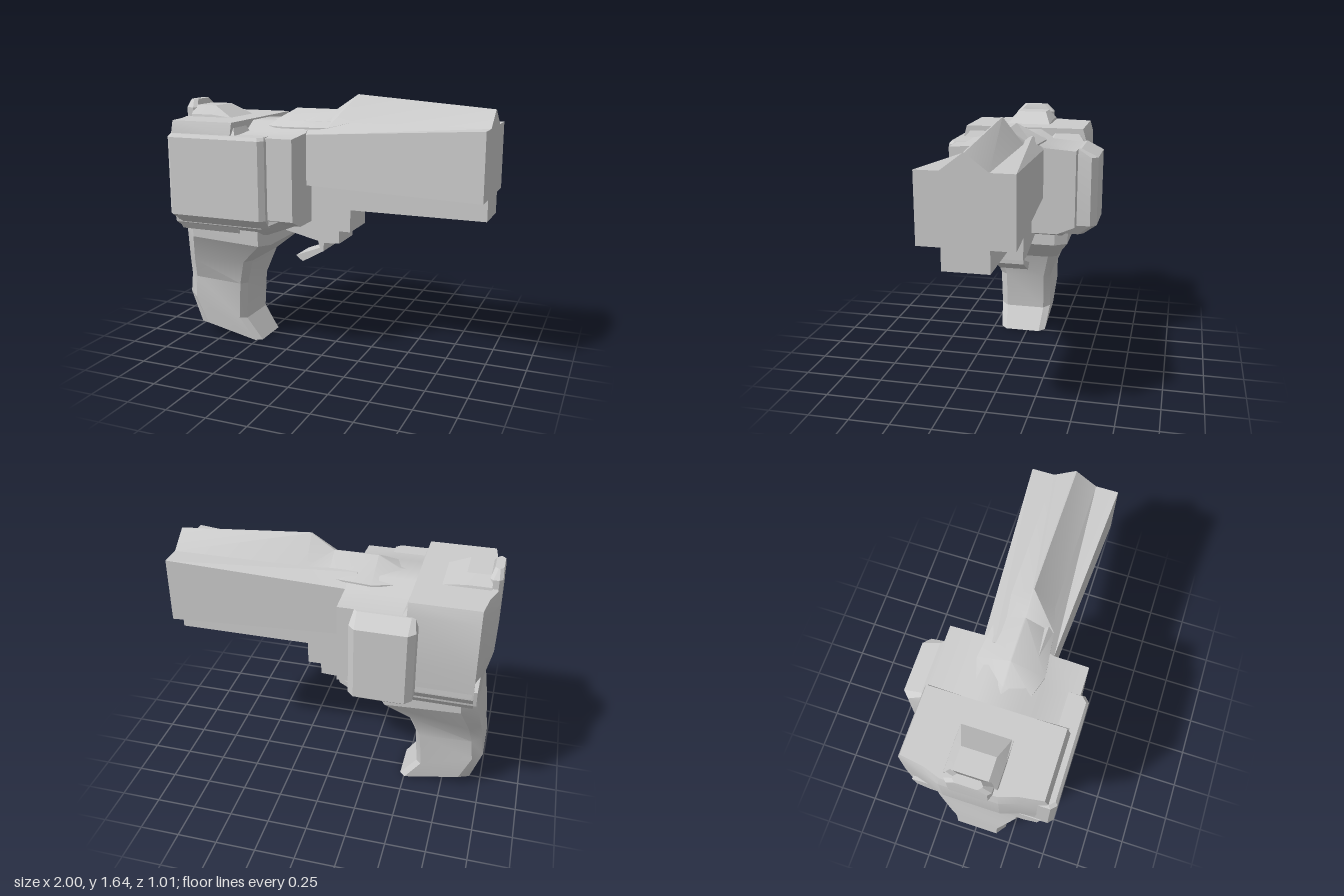
import * as THREE from 'three';
import { toCreasedNormals } from 'three/addons/utils/BufferGeometryUtils.js';

const C = 0.033; // the model's mid plane in z

// Skin a run of equal-length point rings and close both ends.
function loft(rings, crease = 0.35) {
  const n = rings[0].length, pos = [];
  const tri = (a, b, c) => pos.push(...a, ...b, ...c);
  for (let r = 0; r < rings.length - 1; r++) {
    for (let i = 0; i < n; i++) {
      const j = (i + 1) % n, A = rings[r], B = rings[r + 1];
      tri(A[i], B[i], B[j]);
      tri(A[i], B[j], A[j]);
    }
  }
  const mid = (ring) => [0, 1, 2].map((k) => ring.reduce((s, p) => s + p[k], 0) / n);
  const first = rings[0], last = rings[rings.length - 1];
  const m0 = mid(first), m1 = mid(last);
  for (let i = 0; i < n; i++) {
    const j = (i + 1) % n;
    tri(m0, first[i], first[j]);
    tri(m1, last[j], last[i]);
  }
  // Turn the faces outward if the enclosed volume is negative.
  let vol = 0;
  const a = new THREE.Vector3(), b = new THREE.Vector3(), c = new THREE.Vector3();
  for (let i = 0; i < pos.length; i += 9) {
    vol += a.fromArray(pos, i).dot(b.fromArray(pos, i + 3).cross(c.fromArray(pos, i + 6)));
  }
  if (vol < 0) {
    for (let i = 0; i < pos.length; i += 9) {
      for (let k = 0; k < 3; k++) [pos[i + 3 + k], pos[i + 6 + k]] = [pos[i + 6 + k], pos[i + 3 + k]];
    }
  }
  const g = new THREE.BufferGeometry();
  g.setAttribute('position', new THREE.Float32BufferAttribute(pos, 3));
  return toCreasedNormals(g, crease);
}

// Cross-section at x from [z, y] pairs.
const section = (x, pts) => pts.map(([z, y]) => [x, y, z]);
// Symmetric cross-section at x from the [half width, y] pairs of one side.
const sym = (x, half) => section(x, [
  ...half.map(([w, y]) => [C + w, y]),
  ...[...half].reverse().map(([w, y]) => [C - w, y]),
]);
// Rectangle in plan at height y, with cut corners.
const plan = (y, x0, x1, z0, z1, c) => [
  [x0 + c, y, z0], [x1 - c, y, z0], [x1, y, z0 + c], [x1, y, z1 - c],
  [x1 - c, y, z1], [x0 + c, y, z1], [x0, y, z1 - c], [x0, y, z0 + c],
];

export function createModel() {
  const group = new THREE.Group();
  const material = new THREE.MeshStandardMaterial({ color: 0xcccccc });
  const add = (name, geometry) => {
    const m = new THREE.Mesh(geometry, material);
    m.name = name;
    group.add(m);
    return m;
  };
  const box = (name, x0, x1, y0, y1, z0, z1) =>
    add(name, new THREE.BoxGeometry(x1 - x0, y1 - y0, z1 - z0))
      .position.set((x0 + x1) / 2, (y0 + y1) / 2, (z0 + z1) / 2);

  // Barrel, flaring towards the muzzle
  add('barrel', loft([[-0.15, 0.205, 1.1, 1.41], [-0.1, 0.208, 1.1, 1.41], [1, 0.27, 1.08, 1.485]].map(
    ([x, w, y0, y1]) => sym(x, [[w, y0], [w, y1], [0.132, 1.485]]))));
  box('barrelRail', -0.1, 1, 0.95, 1.12, -0.1, 0.166);
  box('frameFront', -0.2, 0.16, 0.81, 1.12, -0.1, 0.166);

  // Top ridge running into the body
  add('topRidge', loft([[-0.42, 1.475, 0.14], [-0.38, 1.48, 0.16], [-0.25, 1.55, 0.2], [0.02, 1.55, 0.17],
    [0.16, 1.645, 0.132], [1, 1.582, 0.132]].map(
    ([x, y, w]) => sym(x, [[w, 1.44], [w, x < 0.1 ? 1.45 : 1.485], [0.004, y]])), 0.5));

  // Body with a raised, rounded top
  add('body', loft([[-0.9, 0.98], [-0.5, 0.98], [-0.3, 0.98], [-0.1, 0.98]].map(
    ([x, y]) => sym(x, [[0.3, y - 0.12], [0.415, y - 0.07], [0.415, 1.405], [0.21, 1.42], [0.12, 1.475]])), 0.6));

  // Belly narrowing forward to the trigger and down to the grip
  add('belly', loft([
    sym(-0.93, [[0.3, 0.79], [0.38, 0.84], [0.4, 0.95]]),
    sym(-0.33, [[0.3, 0.785], [0.38, 0.84], [0.4, 0.95]]),
    sym(-0.1, [[0.15, 0.86], [0.25, 0.885], [0.412, 0.95]]),
  ], 0.6));

  // Rear housing, bevelled in plan towards the back
  const rear = (y, x, s) => [
    [-0.5, y, C + 0.425 * s], [-0.91, y, C + 0.425 * s], [-0.95 + x, y, C + 0.28 * s], [-0.985 + x, y, C + 0.17 * s],
    [-0.985 + x, y, C - 0.17 * s], [-0.95 + x, y, C - 0.28 * s], [-0.91, y, C - 0.425 * s], [-0.5, y, C - 0.425 * s],
  ];
  add('rearHousing', loft([rear(0.79, 0.045, 0.8), rear(0.9, 0.045, 0.97), rear(1.1, 0, 1),
    rear(1.41, 0, 1), rear(1.485, 0.02, 0.95)]));

  // Side panels: a long one on the +z side, a shorter forward one on the -z side
  add('leftPanel', loft([
    plan(0.85, -0.9, -0.28, 0.2, 0.43, 0.03), plan(0.91, -0.925, -0.265, 0.2, 0.505, 0.03),
    plan(1.39, -0.925, -0.265, 0.2, 0.505, 0.03), plan(1.41, -0.91, -0.275, 0.2, 0.49, 0.03),
  ]));
  add('rightPanel', loft([
    plan(0.83, -0.53, -0.23, -0.42, -0.1, 0.03), plan(0.9, -0.57, -0.19, -0.51, -0.1, 0.04),
    plan(1.35, -0.57, -0.19, -0.51, -0.1, 0.04), plan(1.405, -0.55, -0.2, -0.4, -0.1, 0.02),
  ]));

  // Wedge corners at the front of the rear housing
  for (const s of [1, -1]) {
    add('topWedge', loft([
      [[-0.57, 1.4, C + s * 0.42], [-0.47, 1.4, C + s * 0.42], [-0.47, 1.4, C + s * 0.2], [-0.57, 1.4, C + s * 0.2]],
      [[-0.57, 1.485, C + s * 0.38], [-0.52, 1.485, C + s * 0.35], [-0.52, 1.485, C + s * 0.23], [-0.57, 1.485, C + s * 0.18]],
    ]));
  }

  // Rear sight bump and hammer
  add('rearSight', loft([[-0.93, 1.555, 0.1], [-0.78, 1.555, 0.1], [-0.65, 1.485, 0.14]].map(
    ([x, y, w]) => sym(x, [[0.16, 1.45], [0.15, Math.min(y, 1.5)], [w, y]]))));
  add('hammer', loft([
    plan(1.36, -0.986, -0.9, -0.1, 0.166, 0.02), plan(1.54, -0.984, -0.91, -0.1, 0.166, 0.02),
    plan(1.59, -0.98, -0.93, -0.05, 0.116, 0.02),
  ]));

  // Grip: back point, front point and half width of each level
  const grip = [
    [-0.93, 0.82, -0.33, 0.82, 0.335], [-0.935, 0.74, -0.33, 0.71, 0.33], [-0.97, 0.545, -0.5, 0.57, 0.235],
    [-0.985, 0.42, -0.56, 0.4, 0.182], [-1, 0.29, -0.575, 0.15, 0.178], [-0.93, 0.075, -0.47, 0.005, 0.16],
  ];
  add('grip', loft(grip.map(([xb, yb, xf, yf, w], i) => {
    const at = (t, z) => [
      xb + (xf - xb) * t, yb + (yf - yb) * t + (i === 5 && t > 0.1 && t < 0.5 ? 0.02 : 0), C + z,
    ];
    return [at(0, w * 0.75), at(0.15, w), at(0.92, w), at(1, w * 0.75),
      at(1, -w * 0.75), at(0.92, -w), at(0.15, -w), at(0, -w * 0.75)];
  })));

  // Trigger mount and bent trigger, as outlines extruded across z
  const slab = (name, outline, z0, z1) => {
    const shape = new THREE.Shape(outline.map(([x, y]) => new THREE.Vector2(x, y)));
    const g = new THREE.ExtrudeGeometry(shape, { depth: z1 - z0, bevelEnabled: false });
    add(name, g.translate(0, 0, z0));
  };
  slab('triggerMount', [[-0.33, 0.79], [-0.02, 0.72], [0.08, 0.725], [0.08, 0.805], [-0.02, 0.82], [-0.2, 0.87]], -0.083, 0.148);
  slab('trigger', [[-0.03, 0.74], [-0.075, 0.74], [-0.06, 0.68], [-0.225, 0.615], [-0.18, 0.578], [-0.035, 0.66]], -0.063, 0.13);

  return group;
}
